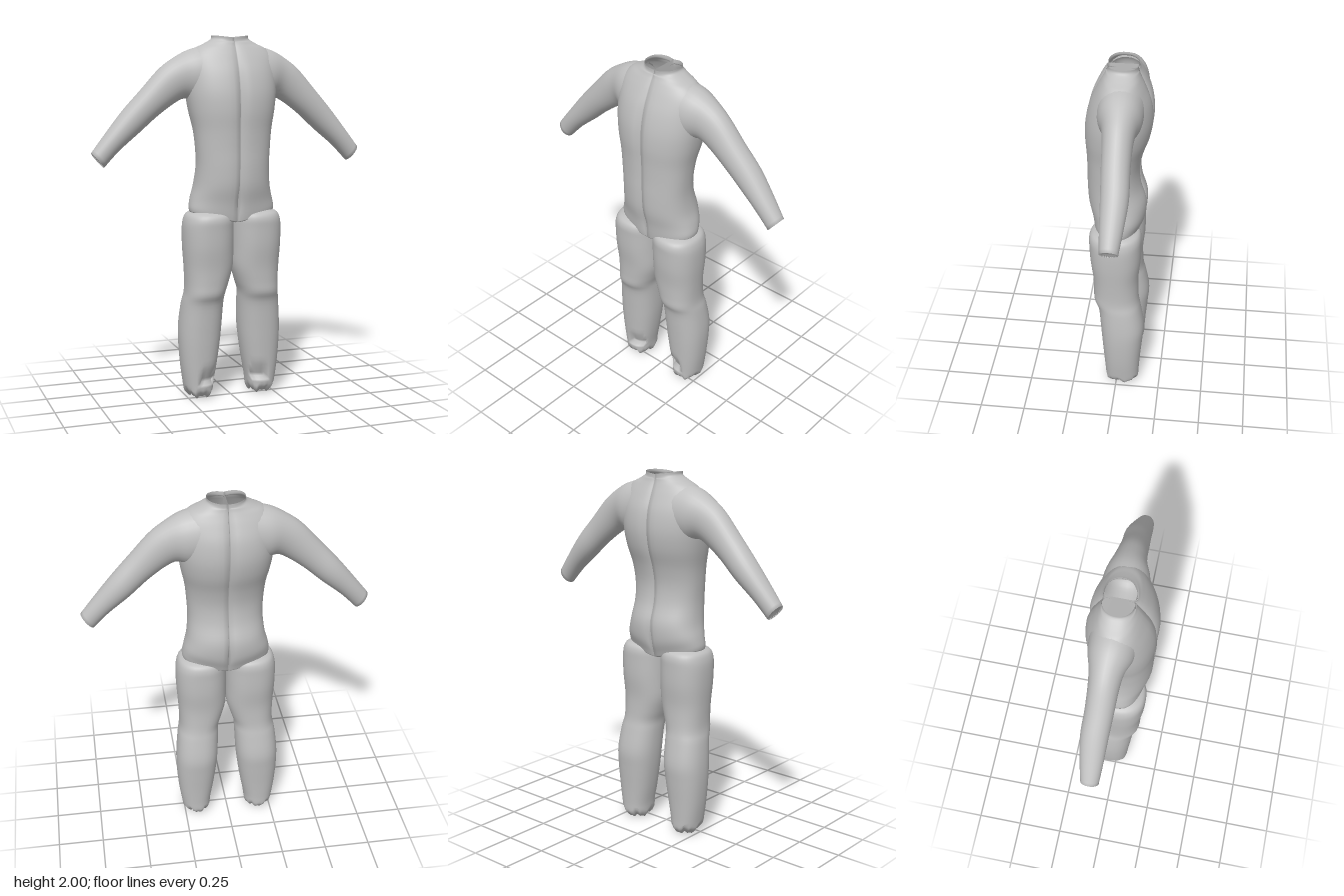
import * as THREE from 'three';

const fabric = new THREE.MeshStandardMaterial({ color: 0xc0c0c0, side: THREE.DoubleSide });
fabric.name = 'grey fabric';

// Smooth in-between rows through a few hand-set rows
function resample(rows, steps) {
  const out = [];
  const last = rows.length - 1;
  for (let i = 0; i < last; i++) {
    const a = rows[Math.max(i - 1, 0)], b = rows[i], c = rows[i + 1], d = rows[Math.min(i + 2, last)];
    for (let k = 0; k < steps; k++) {
      const t = k / steps;
      out.push(b.map((p, j) => {
        const slope = c[j] - a[j];
        const bend = 2 * a[j] - 5 * p + 4 * c[j] - d[j];
        const twist = 3 * (p - c[j]) + d[j] - a[j];
        return p + 0.5 * t * (slope + t * (bend + t * twist));
      }));
    }
  }
  out.push(rows[last]);
  return out;
}

// Skin closed rings of [x, y, z]; side -1 mirrors to the other half
function loft(name, rings, side) {
  const n = rings[0].length;
  const positions = rings.flatMap(r => r.flatMap(([x, y, z]) => [x * side, y, z]));
  const index = [];
  for (let r = 0; r < rings.length - 1; r++) {
    for (let i = 0; i < n; i++) {
      const a = r * n + i, b = r * n + (i + 1) % n, c = a + n, d = b + n;
      if (side > 0) index.push(a, b, c, b, d, c);
      else index.push(a, c, b, b, c, d);
    }
  }
  const geometry = new THREE.BufferGeometry();
  geometry.setAttribute('position', new THREE.Float32BufferAttribute(positions, 3));
  geometry.setIndex(index);
  geometry.computeVertexNormals();
  const mesh = new THREE.Mesh(geometry, fabric);
  mesh.name = name;
  return mesh;
}

// Signed power used for fuller-than-round sections
const full = (v, e) => Math.sign(v) * Math.pow(Math.abs(v), 2 / e);

// Pull a ring towards its own centre to close an end
function shrink(ring, f, dy = 0) {
  const c = [0, 1, 2].map(j => ring.reduce((s, p) => s + p[j], 0) / ring.length);
  return ring.map(p => p.map((v, j) => c[j] + (v - c[j]) * f + (j === 1 ? dy : 0)));
}

// One half of the torso, with a folded seam along the middle
function torsoHalf(side) {
  // y, half width, front z, back z
  const rows = resample([
    [2.00, 0.100, 0.065, -0.100], [1.98, 0.105, 0.065, -0.100],
    [1.955, 0.150, 0.074, -0.105], [1.93, 0.200, 0.088, -0.115],
    [1.88, 0.240, 0.115, -0.138], [1.80, 0.250, 0.150, -0.168],
    [1.70, 0.250, 0.174, -0.178], [1.60, 0.237, 0.180, -0.163],
    [1.50, 0.217, 0.174, -0.130], [1.40, 0.207, 0.171, -0.112],
    [1.30, 0.203, 0.171, -0.120], [1.20, 0.212, 0.165, -0.149],
    [1.13, 0.230, 0.145, -0.145], [1.08, 0.240, 0.135, -0.122],
    [1.055, 0.238, 0.130, -0.112],
  ], 4);
  const rings = rows.map(([y, w, zf, zb]) => {
    const ring = [];
    const mid = (zf + zb) / 2, depth = (zf - zb) / 2;
    const gap = 0.003 + 0.009 * Math.exp(-(((y - 1.13) / 0.04) ** 2));
    const hem = THREE.MathUtils.smoothstep(1.22 - y, 0, 0.16);
    for (let i = 0; i <= 28; i++) {
      const a = Math.PI * (i / 28 - 0.5);
      const x = Math.max(w * full(Math.cos(a), 2.3), gap);
      const groove = 1 - 0.07 * Math.exp(-((x / 0.025) ** 2));
      const neckDip = y > 1.97 ? 0.012 * Math.max(0, 1 - x / 0.1) : 0;
      const drop = 0.055 * hem * Math.max(0, 1 - x / 0.24) + neckDip;
      ring.push([x, y - drop, mid + depth * full(Math.sin(a), 2.3) * groove]);
    }
    // inner fold of the seam
    for (const f of [0.8, 0.4, 0, -0.4, -0.8]) {
      ring.push([0, ring[0][1], mid + depth * f]);
    }
    return ring;
  });
  // hem tucked under
  const hemRing = rings[rings.length - 1];
  rings.push(shrink(hemRing, 0.93, -0.004), shrink(hemRing, 0.8, 0.015), shrink(hemRing, 0, 0.03));
  return loft(side > 0 ? 'leftTorso' : 'rightTorso', rings, side);
}

// Sleeve running from inside the shoulder to the cuff
function sleeve(side) {
  // upper edge x, y, lower edge x, y, front z, back z
  const rows = resample([
    [0.15, 1.945, 0.13, 1.64, 0.105, -0.140],
    [0.235, 1.925, 0.20, 1.645, 0.092, -0.132],
    [0.32, 1.880, 0.255, 1.665, 0.064, -0.112],
    [0.40, 1.820, 0.315, 1.640, 0.052, -0.102],
    [0.50, 1.710, 0.41, 1.572, 0.045, -0.100],
    [0.60, 1.600, 0.51, 1.485, 0.037, -0.104],
    [0.70, 1.475, 0.62, 1.393, 0.030, -0.088],
    [0.77, 1.385, 0.705, 1.305, 0.022, -0.072],
  ], 4);
  const rings = rows.map(([tx, ty, bx, by, zf, zb]) => {
    const ring = [];
    for (let i = 0; i < 28; i++) {
      const a = 2 * Math.PI * i / 28;
      const u = 0.5 + 0.5 * Math.cos(a);
      const z = (zf + zb) / 2 + (zf - zb) / 2 * full(Math.sin(a), 2.1);
      ring.push([bx + (tx - bx) * u, by + (ty - by) * u, z]);
    }
    return ring;
  });
  // cuff turned in and closed
  const cuff = rings[rings.length - 1];
  const inset = f => shrink(cuff, f).map(([x, y, z]) => [x - 0.008, y + 0.009, z]);
  rings.push(inset(0.92), inset(0));
  return loft(side > 0 ? 'leftSleeve' : 'rightSleeve', rings, side);
}

// Trouser leg with knee and calf shaping
function leg(side) {
  // y, inner x, outer x, front z, back z
  const rows = resample([
    [1.055, 0.045, 0.225, 0.110, -0.090], [1.04, 0.012, 0.255, 0.140, -0.118],
    [1.01, 0.002, 0.270, 0.153, -0.130], [0.96, 0.000, 0.277, 0.152, -0.131],
    [0.86, 0.000, 0.276, 0.147, -0.129], [0.75, 0.002, 0.269, 0.134, -0.118],
    [0.66, 0.026, 0.265, 0.129, -0.118], [0.60, 0.045, 0.267, 0.126, -0.122],
    [0.54, 0.049, 0.278, 0.102, -0.134], [0.42, 0.054, 0.290, 0.090, -0.154],
    [0.32, 0.063, 0.291, 0.082, -0.148], [0.20, 0.080, 0.283, 0.072, -0.137],
    [0.10, 0.098, 0.270, 0.064, -0.130], [0.05, 0.104, 0.260, 0.060, -0.127],
    [0.025, 0.115, 0.240, 0.045, -0.112],
  ], 4);
  const rings = rows.map(([y, xi, xo, zf, zb]) => {
    const ring = [];
    for (let i = 0; i < 36; i++) {
      const a = 2 * Math.PI * i / 36;
      const x = (xi + xo) / 2 + (xo - xi) / 2 * full(Math.cos(a), 2.3);
      let z = (zf + zb) / 2 + (zf - zb) / 2 * full(Math.sin(a), 2.3);
      // small pinched pocket above the ankle, ragged lower edge
      if (z > 0 && y > 0.09 && y < 0.18 && Math.abs(x - 0.15) < 0.04) z -= 0.03 * (0.19 - y) / 0.09;
      const ragged = y < 0.06 ? 0.009 * Math.sin(5 * a) + 0.006 * Math.sin(11 * a) : 0;
      ring.push([x, y + ragged, z]);
    }
    return ring;
  });
  // closed top and turned-in ankle
  const top = rings[0], ankle = rings[rings.length - 1];
  rings.unshift(shrink(top, 0, 0.012), shrink(top, 0.6, 0.01));
  rings.push(shrink(ankle, 0.8, -0.0146), shrink(ankle, 0.4, 0.015), shrink(ankle, 0, 0.005));
  return loft(side > 0 ? 'leftLeg' : 'rightLeg', rings, side);
}

export function createModel() {
  const suit = new THREE.Group();
  suit.name = 'bodySuit';
  for (const side of [1, -1]) suit.add(torsoHalf(side), sleeve(side), leg(side));
  return suit;
}
